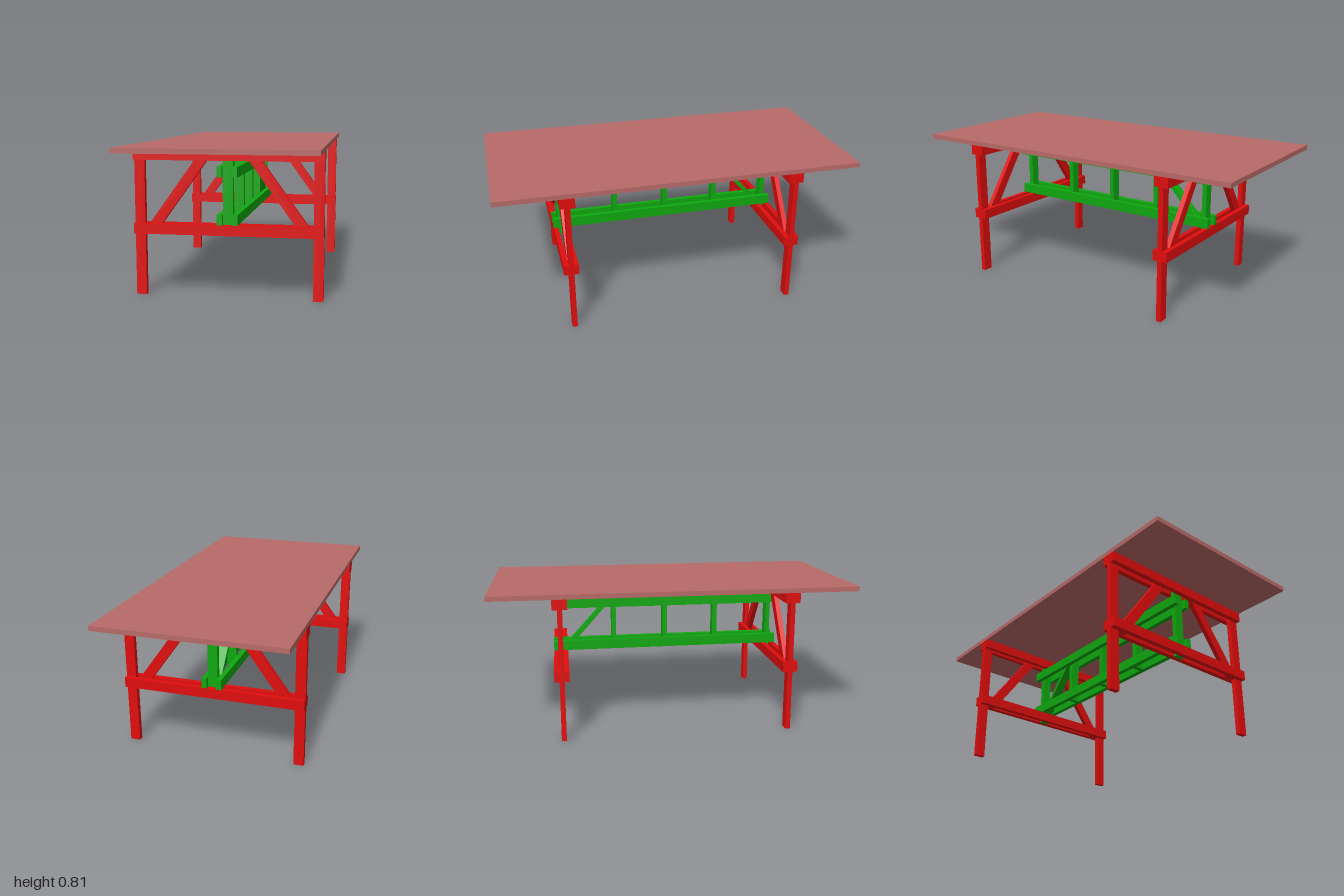
import * as THREE from 'three';

const mat = (color) => new THREE.MeshStandardMaterial({ color });
const RED = mat(0xe00d0d), GREEN = mat(0x0fa80f), TOP = mat(0xb86a68);

const T = 0.027;       // plank thickness
const W = 0.055;       // plank width
const END_Z = 0.627;   // distance of each trestle from the middle

// Box given by its limits along each axis
function plank(name, material, [x0, x1], [y0, y1], [z0, z1]) {
  const mesh = new THREE.Mesh(new THREE.BoxGeometry(x1 - x0, y1 - y0, z1 - z0), material);
  mesh.position.set((x0 + x1) / 2, (y0 + y1) / 2, (z0 + z1) / 2);
  mesh.name = name;
  return mesh;
}

// Slanted plank with level-cut ends, drawn in the xy plane and centred in depth
function slanted(name, material, corners, depth) {
  const shape = new THREE.Shape(corners.map(([x, y]) => new THREE.Vector2(x, y)));
  const geo = new THREE.ExtrudeGeometry(shape, { depth, bevelEnabled: false });
  geo.translate(0, 0, -depth / 2);
  const mesh = new THREE.Mesh(geo, material);
  mesh.name = name;
  return mesh;
}

// Leg frame: two legs and two braces held between paired rails
function trestle() {
  const g = new THREE.Group();
  g.name = 'trestle';
  const mid = [-T / 2, T / 2];
  for (const s of [-1, 1]) {
    const side = s > 0 ? 'left' : 'right';
    g.add(plank(side + 'Leg', RED, s > 0 ? [0.5 - W, 0.5] : [-0.5, -0.5 + W], [0, 0.78], mid));
    g.add(slanted(side + 'Brace', RED, [
      [s * 0.39, 0.337], [s * 0.445, 0.337], [s * 0.445, 0.355],
      [s * 0.138, 0.779], [s * 0.072, 0.779],
    ], T));
    const z = s > 0 ? [T / 2, T * 1.5] : [-T * 1.5, -T / 2];
    const face = s > 0 ? 'front' : 'back';
    g.add(plank(face + 'UpperRail', RED, [-0.5, 0.5], [0.725, 0.78], z));
    g.add(plank(face + 'LowerRail', RED, [-0.5, 0.5], [0.335, 0.39], z));
  }
  return g;
}

// Long central truss joining the two trestles
function truss() {
  const g = new THREE.Group();
  g.name = 'truss';
  for (const x of [[T, 2 * T], [-2 * T, -T]]) {
    for (const y of [[0.64, 0.695], [0.39, 0.445]]) {
      g.add(plank('stretcher', GREEN, x, y, [-0.667, 0.667]));
    }
  }
  for (const z of [0.297, -0.008, -0.313]) {
    g.add(plank('post', GREEN, [-T, T], [0.39, 0.695], [z - T / 2, z + T / 2]));
  }
  for (const z of [-END_Z, END_Z]) {
    g.add(plank('endPost', GREEN, [-T, T], [0.335, 0.78], [z - T / 2, z + T / 2]));
  }
  // Single diagonal at the back bay; shape x runs toward -z after the turn
  const brace = slanted('diagonalBrace', GREEN, [
    [0.585, 0.391], [0.617, 0.391], [0.34, 0.694], [0.313, 0.694],
  ], 2 * T);
  brace.rotation.y = Math.PI / 2;
  g.add(brace);
  return g;
}

export function createModel() {
  const table = new THREE.Group();
  table.name = 'table';
  table.add(plank('tableTop', TOP, [-0.5, 0.5], [0.78, 0.806], [-1, 1]));
  for (const s of [-1, 1]) {
    const t = trestle();
    t.position.z = s * END_Z;
    table.add(t);
  }
  table.add(truss());
  return table;
}
